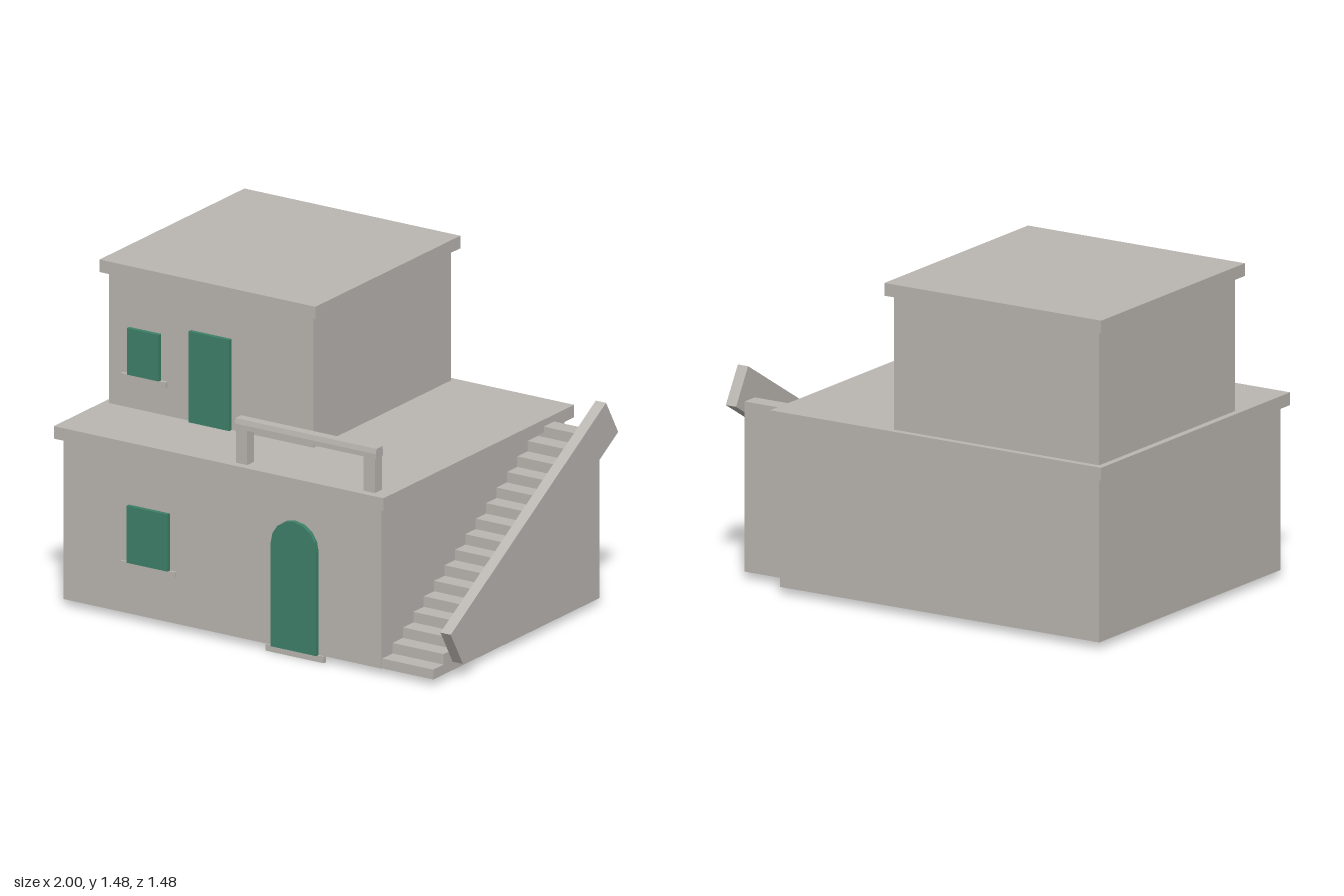
import * as THREE from 'three';

export function createModel() {
  const house = new THREE.Group();
  house.name = 'house';
  const plaster = new THREE.MeshStandardMaterial({ color: 0xbab6b1 });
  plaster.name = 'plaster';
  const green = new THREE.MeshStandardMaterial({ color: 0x3d8068 });
  green.name = 'greenPaint';

  const add = (name, geometry, material) => {
    const mesh = new THREE.Mesh(geometry, material);
    mesh.name = name;
    house.add(mesh);
    return mesh;
  };
  // Box given by its limits on each axis
  const block = (name, [x0, x1], [y0, y1], [z0, z1], material = plaster) => {
    const mesh = add(name, new THREE.BoxGeometry(x1 - x0, y1 - y0, z1 - z0), material);
    mesh.position.set((x0 + x1) / 2, (y0 + y1) / 2, (z0 + z1) / 2);
    return mesh;
  };
  // Side profile of [z, y] points, extruded along x
  const alongX = (name, points, x0, x1) => {
    const shape = new THREE.Shape(points.map(([z, y]) => new THREE.Vector2(-z, y)));
    const geometry = new THREE.ExtrudeGeometry(shape, { depth: x1 - x0, bevelEnabled: false });
    geometry.rotateY(Math.PI / 2).translate(x0, 0, 0);
    return add(name, geometry, plaster);
  };

  // Two storeys, each capped by an overhanging slab
  block('lowerWalls', [-0.97, 0.68], [0.03, 0.765], [-0.71, 0.71]);
  block('terraceSlab', [-1, 0.71], [0.765, 0.822], [-0.74, 0.74]);
  block('upperWalls', [-0.97, 0.09], [0.822, 1.423], [-0.71, 0.355]);
  block('roofSlab', [-1, 0.12], [1.423, 1.48], [-0.74, 0.385]);

  // Windows with sills, and the upper door
  block('upperWindow', [-0.865, -0.7], [0.978, 1.19], [0.35, 0.375], green);
  block('upperSill', [-0.9, -0.667], [0.954, 0.978], [0.35, 0.37]);
  block('upperDoor', [-0.545, -0.335], [0.822, 1.237], [0.35, 0.375], green);
  block('lowerWindow', [-0.63, -0.417], [0.267, 0.527], [0.7, 0.73], green);
  block('lowerSill', [-0.665, -0.385], [0.242, 0.267], [0.7, 0.72]);

  // Arched front door and its doorstep
  const arch = new THREE.Shape();
  arch.moveTo(0.118, 0.03);
  arch.lineTo(0.354, 0.03);
  for (let i = 0; i <= 8; i++) {
    const a = (i / 8) * Math.PI;
    arch.lineTo(0.236 + 0.118 * Math.cos(a), 0.502 + 0.118 * Math.sin(a));
  }
  const door = new THREE.ExtrudeGeometry(arch, { depth: 0.03, bevelEnabled: false });
  add('archedDoor', door.translate(0, 0, 0.7), green);
  block('doorstep', [0.083, 0.385], [0, 0.03], [0.7, 0.718]);

  // Terrace railing: two posts and a chamfered handrail
  for (const x of [-0.08, 0.583]) {
    block('railingPost', [x, x + 0.058], [0.822, 0.985], [0.648, 0.703]);
  }
  alongX('terraceHandrail', [
    [0.703, 0.978], [0.703, 1.0], [0.698, 1.023],
    [0.653, 1.023], [0.648, 1.0], [0.648, 0.978],
  ], -0.086, 0.646);

  // Solid outside staircase
  const steps = 16, run = 1.29 / steps, rise = 0.0477;
  const profile = [[-0.585, 0.03], [0.705, 0.03]];
  for (let i = 0; i < steps; i++) {
    const y = 0.075 + i * rise;
    profile.push([0.705 - i * run, y], [0.705 - (i + 1) * run, y]);
  }
  alongX('stairs', profile, 0.68, 0.945);

  // Sloping parapet beside the stairs
  const parapet = add('stairParapet', new THREE.BoxGeometry(0.053, 0.186, 1.4), plaster);
  parapet.position.set(0.9735, 0.505, 0.002);
  parapet.rotation.x = 0.533;

  return house;
}
